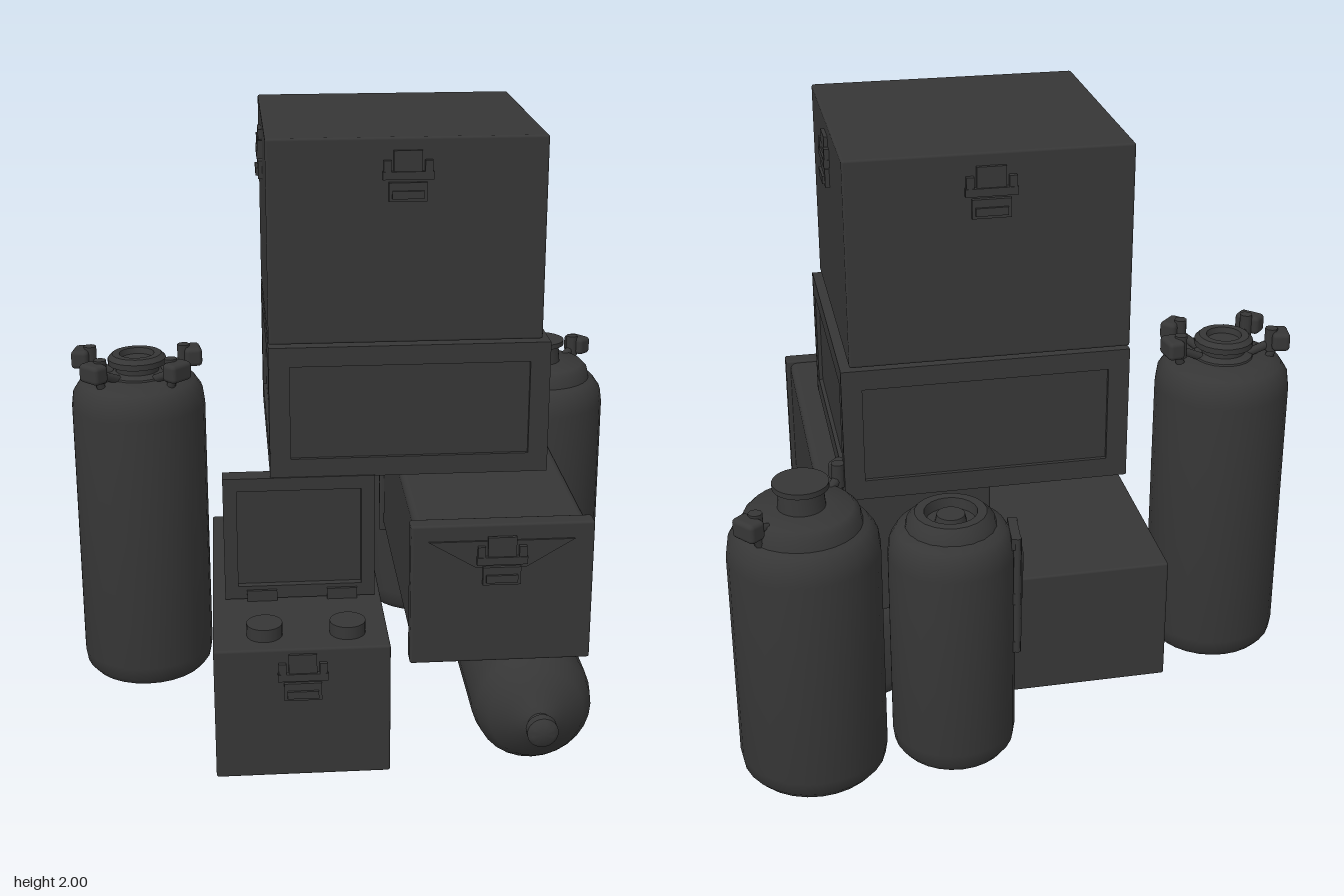
import * as THREE from 'three';
import { toCreasedNormals } from 'three/addons/utils/BufferGeometryUtils.js';
import { RoundedBoxGeometry } from 'three/addons/geometries/RoundedBoxGeometry.js';

const paint = new THREE.MeshStandardMaterial({ color: 0x363636 });
paint.name = 'charcoal';

function add(parent, name, geometry, x = 0, y = 0, z = 0) {
  const m = new THREE.Mesh(geometry, paint);
  m.name = name;
  m.position.set(x, y, z);
  parent.add(m);
  return m;
}

function group(parent, name, x = 0, y = 0, z = 0) {
  const g = new THREE.Group();
  g.name = name;
  g.position.set(x, y, z);
  parent.add(g);
  return g;
}

// Box given by its limits on each axis
function block(parent, name, x0, x1, y0, y1, z0, z1, bevel = 0) {
  const s = [x1 - x0, y1 - y0, z1 - z0];
  const geo = bevel ? new RoundedBoxGeometry(...s, 2, bevel) : new THREE.BoxGeometry(...s);
  return add(parent, name, geo, (x0 + x1) / 2, (y0 + y1) / 2, (z0 + z1) / 2);
}

function lathe(points, sides = 28) {
  const geo = new THREE.LatheGeometry(points.map(p => new THREE.Vector2(...p)), sides);
  return toCreasedNormals(geo, 0.75);
}

// Rod between two points
function rod(parent, name, a, b, r) {
  const p = new THREE.Vector3(...a), q = new THREE.Vector3(...b);
  const m = add(parent, name, new THREE.CylinderGeometry(r, r, p.distanceTo(q), 8));
  m.position.copy(p).add(q).multiplyScalar(0.5);
  m.quaternion.setFromUnitVectors(new THREE.Vector3(0, 1, 0), q.sub(p).normalize());
}

// Rectangular frame facing +z, leaving a sunken panel inside
function frame(parent, name, w, h, border, depth) {
  const s = new THREE.Shape();
  s.moveTo(-w / 2, -h / 2).lineTo(w / 2, -h / 2).lineTo(w / 2, h / 2).lineTo(-w / 2, h / 2).closePath();
  const a = w / 2 - border, b = h / 2 - border;
  const hole = new THREE.Path();
  hole.moveTo(-a, -b).lineTo(-a, b).lineTo(a, b).lineTo(a, -b).closePath();
  s.holes.push(hole);
  return add(parent, name, new THREE.ExtrudeGeometry(s, { depth, bevelEnabled: false }));
}

// Clasp with hinge bar and pull plate, facing +z and turned about y
function latch(parent, x, y, z, turn = 0) {
  const g = group(parent, 'latch', x, y, z);
  g.rotation.y = turn;
  block(g, 'latchPlate', -0.045, 0.045, 0.01, 0.09, 0, 0.012);
  block(g, 'latchBar', -0.08, 0.08, 0, 0.025, 0, 0.018);
  block(g, 'latchPull', -0.06, 0.06, -0.07, -0.01, 0, 0.014);
  block(g, 'latchGrip', -0.05, 0.05, -0.06, -0.035, 0.012, 0.022);
  for (const s of [-1, 1]) block(g, 'latchEar', s * 0.065 - 0.012, s * 0.065 + 0.012, 0, 0.06, 0, 0.016);
}

// Upright tank body with rounded ends and a raised collar
function tank(parent, name, x, z, r, top) {
  const g = group(parent, name, x, 0, z);
  add(g, 'tankBody', lathe([
    [0, 0.015], [r * 0.7, 0.015], [r * 0.76, 0], [r * 0.88, 0.01], [r * 0.97, 0.035], [r, 0.08],
    [r, top - 0.1], [r * 0.97, top - 0.05], [r * 0.86, top - 0.012], [r * 0.7, top], [0, top + 0.01],
  ]));
  return g;
}

// Arm rising from the shoulder to a blocky clamp
function clamp(g, x, z, y) {
  rod(g, 'clampArm', [x * 0.45, y - 0.05, z * 0.45], [x, y, z], 0.015);
  rod(g, 'clampStrut', [x * 0.75, y - 0.11, z * 0.75], [x * 0.95, y, z * 0.95], 0.015);
  const c = group(g, 'clamp', x, y, z);
  c.rotation.y = -Math.atan2(z, x);
  add(c, 'clampBlock', new RoundedBoxGeometry(0.06, 0.065, 0.09, 2, 0.015));
  add(c, 'clampHead', new THREE.CylinderGeometry(0.022, 0.022, 0.08, 8), -0.03);
}

export function createModel() {
  const model = new THREE.Group();
  model.name = 'supplyStack';
  const H = Math.PI / 2;

  // Top crate with a clasp on every side
  const top = group(model, 'topCrate');
  block(top, 'topCrateBody', -0.312, 0.572, 1.34, 2, -0.5, 0.343, 0.008);
  latch(top, 0.13, 1.87, 0.342);
  latch(top, 0.13, 1.87, -0.5, Math.PI);
  latch(top, 0.572, 1.87, -0.08, H);
  latch(top, -0.312, 1.87, -0.08, -H);

  // Middle crate with framed sides
  const mid = group(model, 'middleCrate');
  block(mid, 'middleCrateBody', -0.3, 0.586, 0.885, 1.33, -0.488, 0.332);
  for (const [x, z, w, turn] of [[0.145, 0.332, 0.91, 0], [0.145, -0.488, 0.91, Math.PI],
    [0.586, -0.078, 0.845, H], [-0.3, -0.078, 0.845, -H]]) {
    const f = frame(mid, 'middleCrateFrame', w, 0.445, 0.065, 0.013);
    f.position.set(x, 1.1075, z);
    f.rotation.y = turn;
  }
  block(mid, 'spacer', 0.17, 0.39, 0.855, 0.89, -0.33, -0.03);

  // Open chest: long base, upright lid, two knobs
  const chest = group(model, 'openChest');
  block(chest, 'chestBase', -0.512, 0.05, 0, 0.452, -0.38, 0.715, 0.008);
  block(chest, 'chestLid', -0.47, 0.03, 0.45, 0.888, 0.285, 0.325);
  frame(chest, 'lidFrame', 0.5, 0.43, 0.045, 0.025).position.set(-0.22, 0.673, 0.325);
  for (const x of [-0.347, -0.08]) {
    add(chest, 'knob', new THREE.CylinderGeometry(0.058, 0.058, 0.045, 20), x, 0.472, 0.605);
    block(chest, 'lidHinge', x - 0.05, x + 0.05, 0.45, 0.49, 0.335, 0.36);
  }
  latch(chest, -0.23, 0.345, 0.712);

  // Long case with end caps and sunken sides
  const kase = group(model, 'longCase');
  block(kase, 'caseBody', 0.125, 0.672, 0.4, 0.85, -0.36, 0.7, 0.025);
  block(kase, 'frontCap', 0.11, 0.688, 0.385, 0.858, 0.655, 0.715, 0.008);
  block(kase, 'rearCap', 0.11, 0.688, 0.385, 0.858, -0.372, -0.345, 0.008);
  block(kase, 'sideRail', 0.66, 0.7, 0.375, 0.425, -0.24, 0.54, 0.012);
  const flap = new THREE.Shape();
  flap.moveTo(-0.23, 0.06).lineTo(-0.08, -0.03).lineTo(0.08, -0.03).lineTo(0.23, 0.06).closePath();
  add(kase, 'frontFlap', new THREE.ExtrudeGeometry(flap, { depth: 0.008, bevelEnabled: false }), 0.395, 0.745, 0.714);
  latch(kase, 0.395, 0.73, 0.72);

  // Bottle lying on its side, nozzle forward
  const lying = group(model, 'lyingBottle', 0.52, 0.197, 0);
  add(lying, 'bottleBody', lathe([
    [0, -0.36], [0.13, -0.36], [0.17, -0.35], [0.192, -0.32], [0.197, -0.27], [0.197, 0.62],
    [0.188, 0.68], [0.155, 0.73], [0.1, 0.76], [0.06, 0.79], [0.04, 0.8], [0.035, 0.82],
    [0.05, 0.825], [0.05, 0.855], [0.035, 0.868], [0, 0.868],
  ])).rotation.x = H;

  // Tall cylinder with a valve ring and four clamps
  const tall = tank(model, 'tallCylinder', -0.753, -0.12, 0.23, 1.1);
  add(tall, 'valveNeck', lathe([[0.11, 1.08], [0.1, 1.11], [0.075, 1.12], [0.075, 1.14], [0.1, 1.145],
    [0.1, 1.165], [0.085, 1.18], [0.06, 1.18], [0.055, 1.16], [0, 1.165]], 20));
  for (const s of [-1, 1]) {
    clamp(tall, s * 0.19, -0.03, 1.16);
    clamp(tall, s * 0.14, 0.14, 1.155);
  }

  // Large tank with a wide cap and two clamps
  const large = tank(model, 'largeTank', 0.748, -0.625, 0.24, 0.9);
  add(large, 'largeTankCap', lathe([[0.19, 0.88], [0.18, 0.93], [0.16, 0.95], [0.075, 0.955], [0.07, 1.015],
    [0.088, 1.02], [0.088, 1.038], [0, 1.038]]));
  clamp(large, 0.17, -0.14, 0.97);
  clamp(large, -0.15, 0.17, 0.97);

  // Small tank with a filler ring and a side bracket
  const small = tank(model, 'smallTank', 0.283, -0.61, 0.203, 0.83);
  add(small, 'fillerRing', lathe([[0.15, 0.81], [0.14, 0.85], [0.115, 0.875], [0.085, 0.875], [0.08, 0.84],
    [0.05, 0.84], [0.045, 0.865], [0, 0.865]], 20));
  const bracket = group(small, 'sideBracket');
  bracket.rotation.y = -0.1;
  for (const z of [-0.06, 0.06]) rod(bracket, 'bracketBar', [-0.205, 0.38, z], [-0.205, 0.8, z], 0.013);
  for (const y of [0.4, 0.58, 0.78]) block(bracket, 'bracketStrap', -0.215, -0.185, y - 0.02, y + 0.02, -0.07, 0.07);
  block(bracket, 'bracketGrip', -0.228, -0.2, 0.55, 0.73, -0.025, 0.025, 0.008);

  return model;
}
